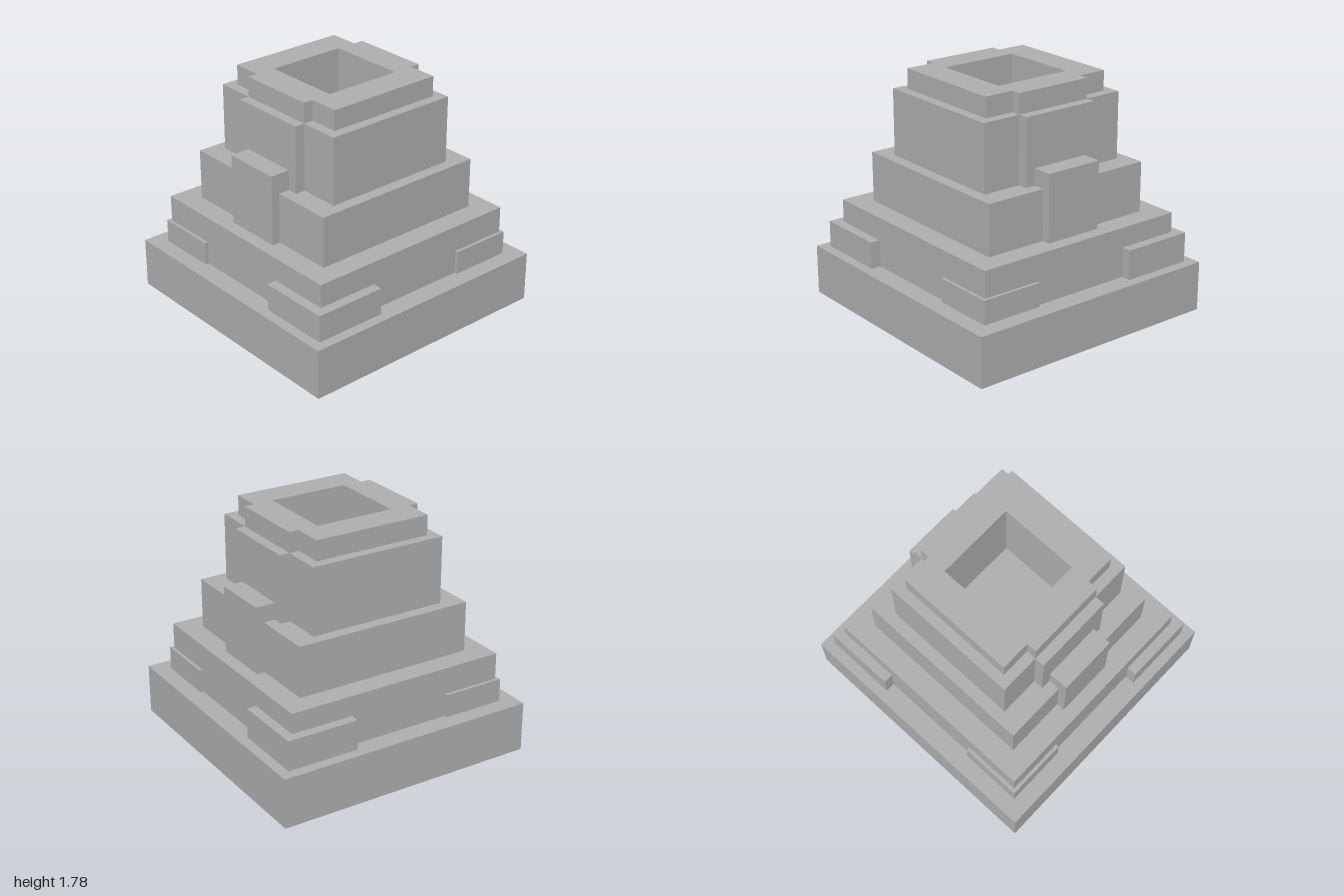
import * as THREE from 'three';

export function createModel() {
  const model = new THREE.Group();
  model.name = 'steppedTower';
  const stone = new THREE.MeshStandardMaterial({ color: 0xb0b0b0 });
  stone.name = 'grey stone';

  // Box given by its minimum and maximum corners
  function block(name, [x0, y0, z0], [x1, y1, z1]) {
    const mesh = new THREE.Mesh(new THREE.BoxGeometry(x1 - x0, y1 - y0, z1 - z0), stone);
    mesh.position.set((x0 + x1) / 2, (y0 + y1) / 2, (z0 + z1) / 2);
    mesh.name = name;
    model.add(mesh);
  }

  // Square tier centred on the axis
  const tier = (name, half, y0, y1) => block(name, [-half, y0, -half], [half, y1, half]);

  // Hollow tier: a rectangle with a wider band on both sides and a square shaft
  function hollowTier(name, halfX, halfZ, bandX, y0, y1) {
    const band = 0.3, shaft = 0.3;
    const quarter = [[bandX, band], [halfX, band], [halfX, halfZ]];
    const outline = [
      ...quarter,
      ...quarter.map(([x, z]) => [-x, z]).reverse(),
      ...quarter.map(([x, z]) => [-x, -z]),
      ...quarter.map(([x, z]) => [x, -z]).reverse(),
    ].map(([x, z]) => new THREE.Vector2(x, z));
    const shape = new THREE.Shape(outline);
    shape.holes.push(new THREE.Path([
      new THREE.Vector2(-shaft, -shaft), new THREE.Vector2(-shaft, shaft),
      new THREE.Vector2(shaft, shaft), new THREE.Vector2(shaft, -shaft),
    ]));
    const geometry = new THREE.ExtrudeGeometry(shape, { depth: y1 - y0, bevelEnabled: false });
    geometry.rotateX(-Math.PI / 2);
    const mesh = new THREE.Mesh(geometry, stone);
    mesh.position.y = y0;
    mesh.name = name;
    model.add(mesh);
  }

  // Solid steps
  tier('base', 1, 0, 0.375);
  tier('lowerTier', 0.85, 0.375, 0.75);
  tier('middleTier', 0.687, 0.75, 1.128);

  // Hollow upper steps
  hollowTier('upperTier', 0.525, 0.6, 0.6, 1.128, 1.628);
  hollowTier('rim', 0.45, 0.525, 0.525, 1.628, 1.778);

  // Side buttresses
  block('leftButtress', [0.55, 0.75, -0.223], [0.75, 1.253, 0.223]);
  block('rightButtress', [-0.75, 0.75, -0.223], [-0.55, 1.277, 0.223]);

  // Uneven corner blocks: x sign, z sign, inner edge, outer edge, top
  const corners = [
    ['frontRightCorner', -1, 1, 0.377, 0.925, 0.577],
    ['frontLeftCorner', 1, 1, 0.402, 0.874, 0.552],
    ['backLeftCorner', 1, -1, 0.377, 0.922, 0.6],
    ['backRightCorner', -1, -1, 0.405, 0.876, 0.55],
  ];
  for (const [name, sx, sz, inner, outer, top] of corners) {
    const span = (s) => (s > 0 ? [inner, outer] : [-outer, -inner]);
    const [x0, x1] = span(sx), [z0, z1] = span(sz);
    block(name, [x0, 0.375, z0], [x1, top, z1]);
  }

  return model;
}
